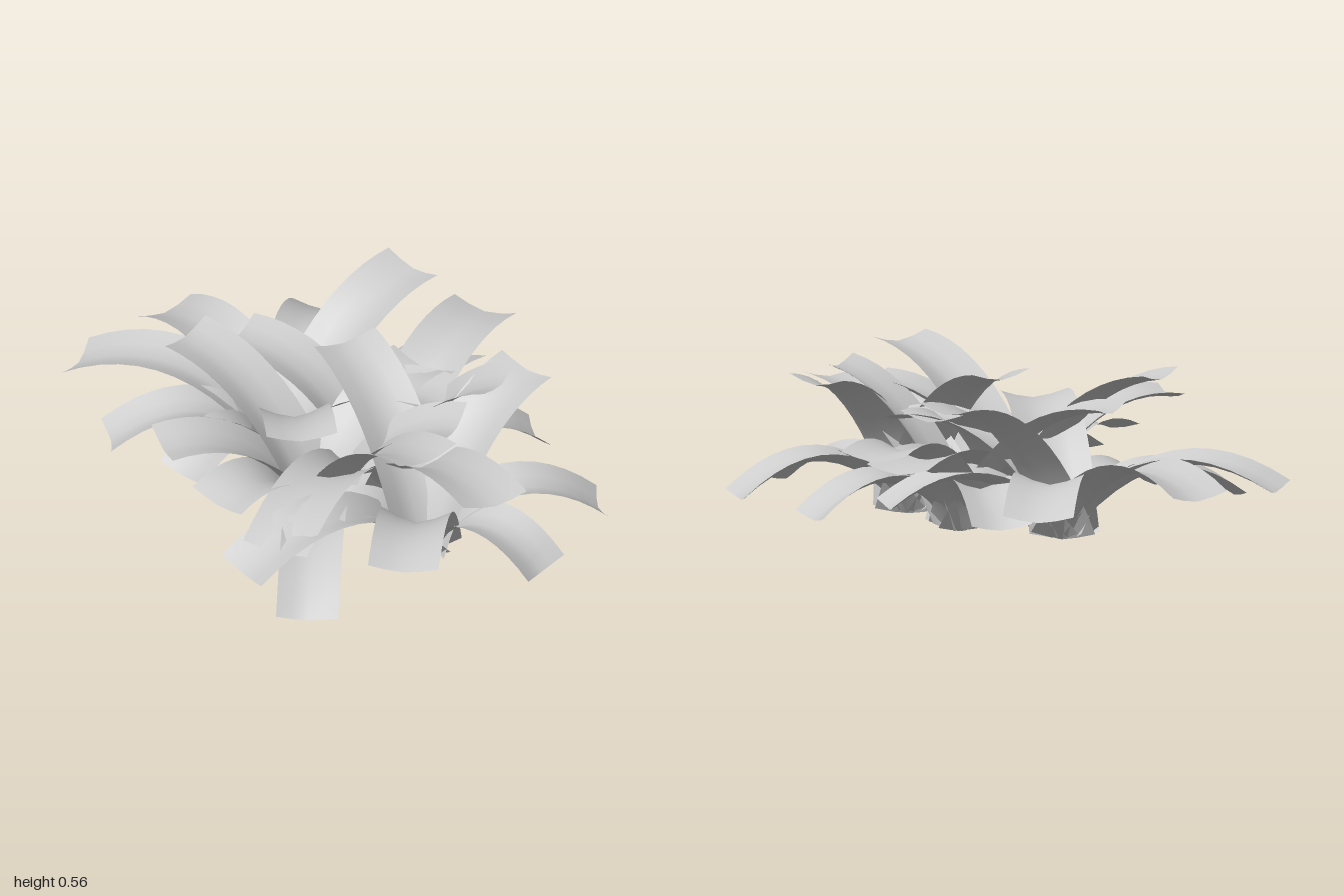
import * as THREE from 'three';

const material = new THREE.MeshStandardMaterial({ color: 0xcccccc, side: THREE.DoubleSide });

// Each plant: base [x, z] and leaf tips [x, z, height, optional arch height]
const plants = [
  { base: [0.02, -0.25], tips: [
    [-0.28, -0.94, 0.2], [0.12, -0.94, 0.22], [0.58, -0.63, 0.17], [-0.47, -0.59, 0.13],
    [-0.45, -0.25, 0.13], [0.52, 0.09, 0.13], [0.61, -0.24, 0.5], [-0.31, 0.17, 0.4], [0.23, 0.3, 0.38]] },
  { base: [0.12, 0.12], tips: [
    [-0.05, -0.41, 0.44], [0.27, 0.54, 0.54], [-0.14, 0.93, 0.41, 0.41], [0.63, 0.33, 0.08],
    [0.77, -0.06, 0.34, 0.42], [-0.64, 0.39, 0.2], [0.42, -0.32, 0.09]] },
  { base: [-0.17, 0.12], tips: [
    [-0.28, -0.43, 0.53], [-0.25, 0.72, 0.54], [-0.67, -0.13, 0.39], [-0.64, 0.11, 0.26],
    [-0.72, 0.62, 0.07], [0.31, 0.1, 0.4], [0.06, 0.54, 0.46], [0.6, -0.02, 0.27, 0.38]] },
  { base: [-0.04, 0.49], tips: [
    [0.08, -0.03, 0.53], [0.44, 0.49, 0.5], [-0.76, 0.36, 0.15], [-0.53, 0.89, 0.3],
    [0.05, 0.96, 0.08], [0.47, 0.8, 0.08], [-0.38, 0.25, 0.08]] },
];

// Arching channelled strap: sweep a shallow U section along a bent midrib
function leafGeometry([bx, bz], [tx, tz, ty, arch]) {
  const rows = 12, cols = 4;
  const out = new THREE.Vector3(tx - bx, 0, tz - bz);
  const length = out.length();
  out.normalize();
  const side = new THREE.Vector3(out.z, 0, -out.x);
  const width = ty < 0.14 ? 0.21 : 0.24;
  const at = (r, y) => new THREE.Vector3(bx, y, bz).addScaledVector(out, r);
  const midrib = new THREE.QuadraticBezierCurve3(
    at(0.02, 0.005),
    at(length * (0.48 - 0.12 * ty), arch ?? 0.15 + 0.34 * ty + 0.28 * length),
    at(length, ty));

  const geometry = new THREE.PlaneGeometry(1, 1, cols, rows);
  const position = geometry.attributes.position;
  const p = new THREE.Vector3();
  for (let i = 0; i <= rows; i++) {
    const t = i / rows;
    const tangent = midrib.getTangent(t);
    const upper = new THREE.Vector3().crossVectors(tangent, side).normalize();
    const fold = THREE.MathUtils.lerp(0.055, 0.028, t);
    for (let j = 0; j <= cols; j++) {
      const s = (j / cols) * 2 - 1;
      p.copy(midrib.getPoint(t))
        .addScaledVector(side, s * width / 2)
        .addScaledVector(upper, fold * Math.abs(s) ** 1.5);
      position.setXYZ(i * (cols + 1) + j, p.x, p.y, p.z);
    }
  }
  geometry.computeVertexNormals();
  return geometry;
}

export function createModel() {
  const model = new THREE.Group();
  model.name = 'leafyPlantCluster';
  plants.forEach(({ base, tips }, n) => {
    const plant = new THREE.Group();
    plant.name = `plant${n + 1}`;
    tips.forEach((tip, k) => {
      const leaf = new THREE.Mesh(leafGeometry(base, tip), material);
      leaf.name = `leaf${k + 1}`;
      plant.add(leaf);
    });
    model.add(plant);
  });
  return model;
}
